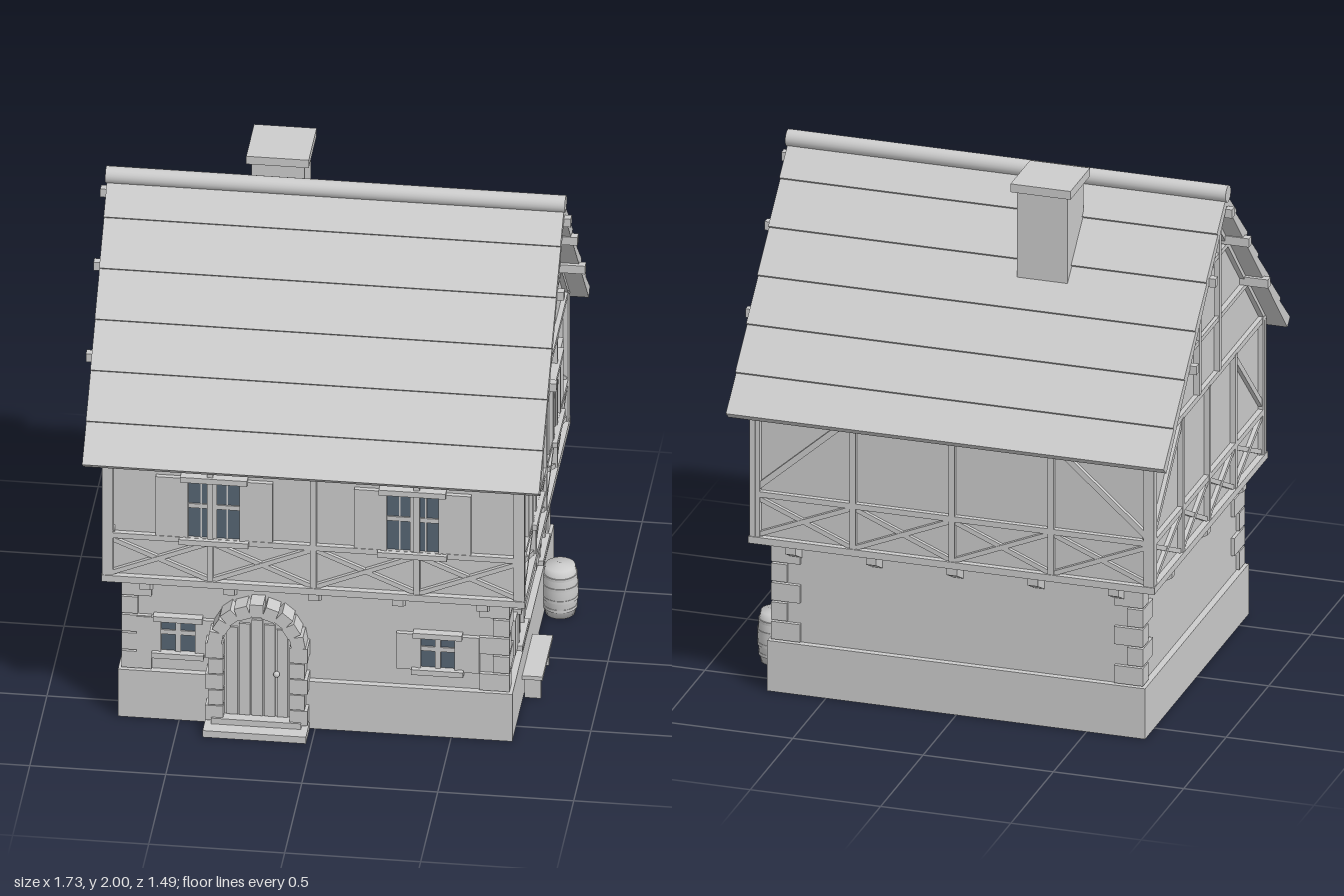
import * as THREE from 'three';

export function createModel() {
  const house = new THREE.Group();
  house.name = 'house';
  const stone = new THREE.MeshStandardMaterial({ color: 0xcccccc });
  stone.name = 'light grey';
  const glass = new THREE.MeshStandardMaterial({ color: 0x566573 });
  glass.name = 'window glass';

  const add = (parent, name, geo, mat = stone) => {
    const m = new THREE.Mesh(geo, mat);
    m.name = name;
    parent.add(m);
    return m;
  };
  // Box given by its minimum and maximum corners
  const box = (parent, name, x0, x1, y0, y1, z0, z1, mat) => {
    const m = add(parent, name, new THREE.BoxGeometry(x1 - x0, y1 - y0, z1 - z0), mat);
    m.position.set((x0 + x1) / 2, (y0 + y1) / 2, (z0 + z1) / 2);
    return m;
  };
  // Straight timber between two points on a facade
  const timber = (parent, name, u0, y0, u1, y1, z, w = 0.022, d = 0.04) => {
    const m = add(parent, name, new THREE.BoxGeometry(Math.hypot(u1 - u0, y1 - y0), w, d));
    m.position.set((u0 + u1) / 2, (y0 + y1) / 2, z - d / 2);
    m.rotation.z = Math.atan2(y1 - y0, u1 - u0);
    return m;
  };
  // Outline in (z, y) extruded along x and centred
  const alongX = (points, width) => {
    const shape = new THREE.Shape(points.map(p => new THREE.Vector2(...p)));
    return new THREE.ExtrudeGeometry(shape, { depth: width, bevelEnabled: false })
      .translate(0, 0, -width / 2).rotateY(-Math.PI / 2);
  };

  // Main bodies
  box(house, 'plinth', -0.725, 0.725, 0, 0.2, -0.61, 0.61);
  box(house, 'lowerWalls', -0.7, 0.7, 0.19, 0.61, -0.585, 0.585);
  add(house, 'upperWallsAndGables', alongX(
    [[-0.645, 0.6], [0.645, 0.6], [0.645, 1.19], [0, 1.885], [-0.645, 1.19]], 1.51));

  // Corner stones, alternating long and short
  for (const sx of [-1, 1]) for (const sz of [-1, 1]) for (let i = 0; i < 5; i++) {
    const lx = i % 2 ? 0.06 : 0.11, lz = i % 2 ? 0.12 : 0.065;
    const q = add(house, 'cornerStone', new THREE.BoxGeometry(lx, 0.07, lz));
    q.position.set(sx * (0.713 - lx / 2), 0.239 + i * 0.077, sz * (0.6 - lz / 2));
  }

  // Window with lintel, sill, bars and a pair of shutters
  const addWindow = (parent, u, y, w, h, shutterW, z) => {
    const g = new THREE.Group();
    g.name = 'window';
    g.position.set(u, y, z);
    parent.add(g);
    const a = w / 2, b = h / 2;
    box(g, 'glassPane', -a, a, -b, b, 0, 0.008, glass);
    for (const s of [-1, 1]) {
      box(g, 'sideFrame', s * a - 0.005, s * a + 0.005, -b, b, 0, 0.022);
      const inner = s * (a + 0.005), outer = s * (a + 0.005 + shutterW);
      box(g, 'shutter', Math.min(inner, outer), Math.max(inner, outer), -b - 0.01, b + 0.01, 0, 0.018);
    }
    box(g, 'mullion', -0.01, 0.01, -b, b, 0, 0.016);
    box(g, 'crossBar', -a, a, 0.005, 0.023, 0, 0.014);
    if (w > 0.15) for (const s of [-1, 1])
      box(g, 'casementBar', s * 0.048 - 0.003, s * 0.048 + 0.003, -b, b, 0, 0.012);
    box(g, 'lintel', -a - 0.023, a + 0.023, b, b + 0.022, 0, 0.032);
    box(g, 'windowSill', -a - 0.028, a + 0.028, -b - 0.022, -b, 0, 0.037);
  };

  // The four timbered facades: local x along the wall, local z outward
  const bracketGeo = alongX([[0, 0.53], [0.085, 0.575], [0.085, 0.605], [0, 0.605]], 0.04);
  const facade = (name, turn, half, dist, posts, brackets, braced) => {
    const f = new THREE.Group();
    f.name = name;
    f.rotation.y = turn;
    house.add(f);
    const z = dist + 0.02;
    timber(f, 'sillBeam', -half - 0.003, 0.617, half + 0.003, 0.617, z + 0.004, 0.027);
    timber(f, 'middleRail', -half, 0.8, half, 0.8, z);
    timber(f, 'topRail', -half, 1.165, half, 1.165, z - 0.002);
    for (const u of posts) timber(f, 'post', u, 0.61, u, 1.16, z + 0.001);
    for (let i = 0; i + 1 < posts.length; i++) {
      const u0 = posts[i], u1 = posts[i + 1];
      timber(f, 'crossBrace', u0, 0.63, u1, 0.79, z - 0.004, 0.018);
      timber(f, 'crossBrace', u0, 0.79, u1, 0.63, z - 0.006, 0.018);
    }
    if (braced) for (const s of [-1, 1])
      timber(f, 'diagonalBrace', s * posts[4], 0.81, s * posts[3], 1.15, z - 0.004);
    for (const u of brackets)
      add(f, 'jettyBracket', bracketGeo).position.set(u, 0, dist - 0.068);
    return f;
  };
  const longPosts = [-0.764, -0.38, 0, 0.38, 0.764], shortPosts = [-0.654, -0.31, 0, 0.31, 0.654];
  const longBrackets = [-0.62, -0.31, 0, 0.31, 0.62], shortBrackets = [-0.42, 0, 0.42];
  const front = facade('frontFacade', 0, 0.775, 0.645, longPosts, longBrackets, false);
  facade('backFacade', Math.PI, 0.775, 0.645, longPosts, longBrackets, true);
  const leftSide = facade('leftFacade', Math.PI / 2, 0.665, 0.755, shortPosts, shortBrackets, false);
  const rightSide = facade('rightFacade', -Math.PI / 2, 0.665, 0.755, shortPosts, shortBrackets, true);

  for (const s of [-1, 1]) {
    addWindow(front, s * 0.365, 0.93, 0.2, 0.24, 0.11, 0.645);
    addWindow(leftSide, s * 0.295, 0.93, 0.19, 0.24, 0.11, 0.755);
    addWindow(leftSide, s * 0.305, 0.35, 0.145, 0.13, 0.08, 0.7);
  }
  addWindow(front, -0.505, 0.35, 0.135, 0.13, 0.08, 0.585);
  addWindow(front, 0.45, 0.35, 0.135, 0.13, 0.08, 0.585);

  // Gable timbers, hatch and protruding purlins
  for (const g of [leftSide, rightSide]) {
    timber(g, 'lowerCollar', -0.45, 1.385, 0.45, 1.385, 0.775, 0.018);
    timber(g, 'upperCollar', -0.22, 1.635, 0.22, 1.635, 0.775, 0.018);
    for (const s of [-1, 1]) {
      timber(g, 'gablePost', s * 0.118, 1.175, s * 0.118, 1.75, 0.777, 0.024);
      timber(g, 'rafter', s * 0.65, 1.172, 0, 1.872, 0.774, 0.02);
    }
    box(g, 'atticHatch', -0.082, 0.082, 1.4, 1.6, 0.75, 0.765);
    for (const [u, y] of [[0, 1.86], [0.197, 1.665], [-0.197, 1.665], [0.422, 1.41], [-0.422, 1.41]])
      box(g, 'purlinEnd', u - 0.015, u + 0.015, y - 0.017, y + 0.017, 0.74, 0.865);
  }

  // Roof slopes with six lapped courses, ridge roll on top
  const slope = 1.08, top = 1.945;
  const profile = [[0, 1.885], [0, top - 0.016]];
  for (const y of [1.82, 1.68, 1.54, 1.4, 1.26, 1.14]) {
    const z = (top - y) / slope;
    profile.push([z, y], [z - 0.0088, y - 0.0082]);
  }
  profile.push([0.712, 1.112]);
  const roofGeo = alongX(profile.reverse(), 1.68);
  add(house, 'frontRoof', roofGeo);
  add(house, 'backRoof', roofGeo).rotation.y = Math.PI;
  const ridge = add(house, 'ridge', new THREE.CylinderGeometry(0.032, 0.032, 1.69, 20));
  ridge.rotation.z = Math.PI / 2;
  ridge.position.y = 1.932;

  // Chimney
  box(house, 'chimneyStack', -0.322, -0.128, 1.5, 1.97, -0.287, -0.097);
  box(house, 'chimneyCap', -0.34, -0.11, 1.967, 2, -0.308, -0.078);

  // Arched door with plank gaps, stone surround and steps
  const door = new THREE.Group();
  door.name = 'doorway';
  door.position.x = -0.21;
  house.add(door);
  const arch = 0.36;
  const leaf = new THREE.Shape();
  leaf.moveTo(-0.125, 0.04);
  leaf.lineTo(0.125, 0.04);
  leaf.lineTo(0.125, arch);
  leaf.absarc(0, arch, 0.125, 0, Math.PI, false);
  add(door, 'doorLeaf', new THREE.ExtrudeGeometry(leaf, { depth: 0.045, bevelEnabled: false, curveSegments: 16 }))
    .position.z = 0.58;
  for (let i = -2; i <= 2; i++)
    box(door, 'doorPlank', i * 0.046 - 0.02, i * 0.046 + 0.02, 0.055, arch + 0.1 - Math.abs(i) * 0.018, 0.6, 0.634);
  const knob = add(door, 'doorKnob', new THREE.SphereGeometry(0.012, 12, 8));
  knob.position.set(0.072, 0.24, 0.642);
  for (const s of [-1, 1]) for (let i = 0; i < 5; i++) {
    const w = i % 2 ? 0.055 : 0.066;
    const stoneBlock = add(door, 'jambStone', new THREE.BoxGeometry(w, 0.062, 0.08));
    stoneBlock.position.set(s * (0.122 + w / 2), 0.07 + i * 0.066, 0.62);
  }
  for (let i = 0; i < 9; i++) {
    const a = Math.PI * (i + 0.5) / 9, r = i % 2 ? 0.148 : 0.153;
    const v = add(door, 'archStone', new THREE.BoxGeometry(0.052, 0.05, 0.08));
    v.position.set(r * Math.cos(a), arch + r * Math.sin(a), 0.62);
    v.rotation.z = a;
  }
  box(door, 'lowerStep', -0.19, 0.19, 0, 0.028, 0.58, 0.72);
  box(door, 'upperStep', -0.165, 0.165, 0.028, 0.052, 0.58, 0.668);

  // Bench beside the wall
  box(house, 'benchSeat', 0.722, 0.8, 0.092, 0.108, 0.02, 0.32);
  for (const z of [0.05, 0.285]) box(house, 'benchLeg', 0.73, 0.79, 0, 0.095, z - 0.008, z + 0.008);

  // Barrel with hoops
  const barrel = new THREE.Group();
  barrel.name = 'barrel';
  barrel.position.set(0.783, 0, -0.33);
  house.add(barrel);
  const stave = [[0, 0], [0.055, 0], [0.063, 0.045], [0.068, 0.1], [0.063, 0.155], [0.055, 0.2], [0, 0.2]];
  add(barrel, 'barrelBody', new THREE.LatheGeometry(stave.map(p => new THREE.Vector2(...p)), 24));
  for (const [y, r] of [[0.035, 0.064], [0.075, 0.068], [0.125, 0.068], [0.165, 0.064]])
    add(barrel, 'barrelHoop', new THREE.CylinderGeometry(r, r, 0.012, 24)).position.y = y;

  return house;
}
